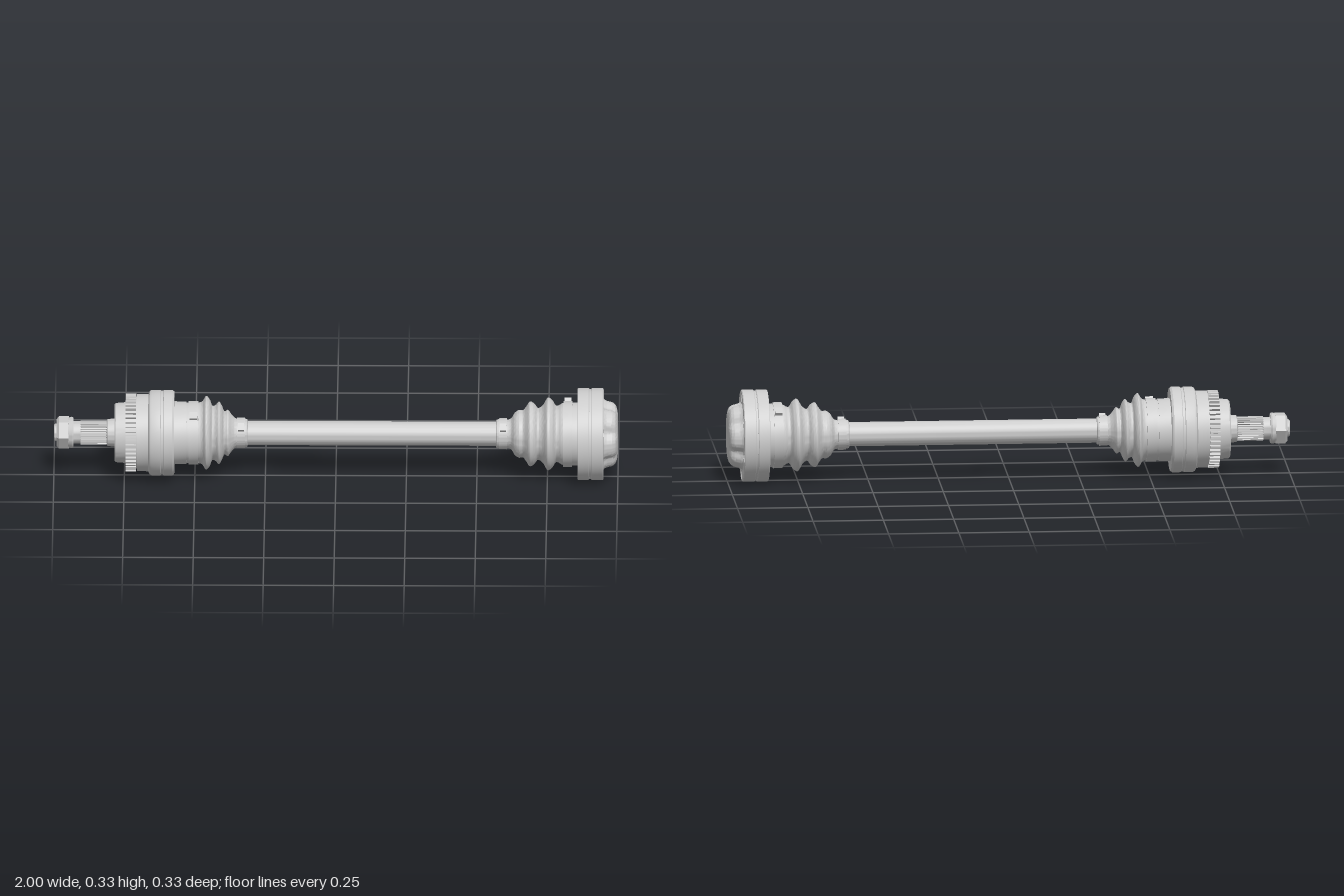
import * as THREE from 'three';
import { toCreasedNormals } from 'three/addons/utils/BufferGeometryUtils.js';

const AXIS_Y = 0.163;
const BOLTS = 6, BOLT_R = 0.137, BOLT_START = THREE.MathUtils.degToRad(24);
const material = new THREE.MeshStandardMaterial({ color: 0xcccccc, side: THREE.DoubleSide });

export function createModel() {
  const group = new THREE.Group();

  const add = (name, geometry, crease = 0.6) => {
    const mesh = new THREE.Mesh(toCreasedNormals(geometry, crease), material);
    mesh.name = name;
    mesh.position.y = AXIS_Y;
    group.add(mesh);
    return mesh;
  };

  // Revolve [x, radius] pairs (in rising x) about the shaft axis
  const turned = (pairs, segments = 64) =>
    new THREE.LatheGeometry(pairs.map(([x, r]) => new THREE.Vector2(r, x)), segments).rotateZ(-Math.PI / 2);

  // Extrude a cross-section along the shaft from x0 to x1
  const along = (shape, x0, x1, curveSegments = 64) =>
    new THREE.ExtrudeGeometry(shape, { depth: x1 - x0, bevelEnabled: false, curveSegments })
      .rotateY(Math.PI / 2).translate(x0, 0, 0);

  const gearShape = (inner, outer, teeth) => {
    const points = [];
    for (let i = 0; i < teeth; i++) {
      [[0, inner], [0.45, inner], [0.55, outer], [0.9, outer]].forEach(([f, r]) => {
        const a = ((i + f) / teeth) * Math.PI * 2;
        points.push(new THREE.Vector2(r * Math.cos(a), r * Math.sin(a)));
      });
    }
    return new THREE.Shape(points);
  };

  // Smooth rubber profile through a few control points
  const bellows = (pairs) =>
    new THREE.CatmullRomCurve3(pairs.map(([x, r]) => new THREE.Vector3(x, r, 0)), false, 'centripetal')
      .getPoints(pairs.length * 6).map((p) => [p.x, p.y]);

  // Clamp band with a crimped ear; angle runs from +z towards +y
  const clamp = (name, x, radius, width, angle) => {
    const h = width / 2, r = radius;
    add(name + 'Band', turned([[x - h, r - 0.012], [x - h, r], [x + h, r], [x + h, r - 0.012]]));
    const ear = new THREE.BoxGeometry(width * 0.8, 0.026, 0.016);
    ear.translate(0, 0, r + 0.005).rotateX(-angle).translate(x, 0, 0);
    add(name + 'Ear', ear);
  };

  // Central shaft
  add('shaft', turned([[-0.36, 0.043], [0.62, 0.043]], 48));

  // Wheel-side stub: threaded end, hex nut, washer and splines
  add('threadedEnd', turned([[-1, 0], [-1, 0.027], [-0.995, 0.031], [-0.93, 0.031]], 32));
  add('hexNut', turned([[-0.99, 0.02], [-0.99, 0.048], [-0.982, 0.058], [-0.947, 0.058], [-0.947, 0.03]], 6), 0.3);
  add('nutWasher', turned([[-0.95, 0.03], [-0.95, 0.052], [-0.936, 0.056], [-0.93, 0.052], [-0.93, 0.03]], 48));
  add('splineCore', turned([[-0.935, 0.04], [-0.905, 0.04], [-0.9, 0.036], [-0.78, 0.036]], 32));
  add('splines', along(gearShape(0.037, 0.043, 28), -0.905, -0.81), 0.3);
  add('splineCollar', turned([[-0.815, 0.036], [-0.81, 0.048], [-0.78, 0.05]], 48));

  // Outer joint housing with toothed speed ring
  add('outerJointHousing', turned([
    [-0.785, 0.03], [-0.785, 0.1], [-0.78, 0.105], [-0.745, 0.108], [-0.745, 0.128], [-0.705, 0.128],
    [-0.705, 0.137], [-0.665, 0.137], [-0.66, 0.148], [-0.652, 0.152], [-0.622, 0.152], [-0.62, 0.149],
    [-0.612, 0.149], [-0.61, 0.152], [-0.58, 0.152], [-0.573, 0.147], [-0.573, 0.112], [-0.53, 0.11], [-0.53, 0.05],
  ]));
  add('speedRing', along(gearShape(0.127, 0.138, 48), -0.745, -0.708), 0.3);

  // Outer boot
  add('outerBoot', turned(bellows([
    [-0.56, 0.106], [-0.525, 0.108], [-0.485, 0.108], [-0.474, 0.112], [-0.46, 0.131], [-0.447, 0.118],
    [-0.437, 0.096], [-0.426, 0.1], [-0.415, 0.111], [-0.405, 0.098], [-0.395, 0.077], [-0.383, 0.082],
    [-0.37, 0.066], [-0.355, 0.052], [-0.315, 0.049], [-0.312, 0.042],
  ])));
  clamp('outerLargeClamp', -0.505, 0.113, 0.035, 0.92);
  clamp('outerSmallClamp', -0.336, 0.054, 0.028, 0.75);

  // Inner boot
  add('innerBoot', turned(bellows([
    [0.567, 0.042], [0.57, 0.05], [0.618, 0.053], [0.635, 0.076], [0.65, 0.085], [0.663, 0.084],
    [0.675, 0.098], [0.688, 0.115], [0.703, 0.108], [0.717, 0.092], [0.733, 0.102], [0.752, 0.129],
    [0.767, 0.12], [0.782, 0.1], [0.805, 0.11], [0.835, 0.112], [0.865, 0.112],
  ])));
  clamp('innerSmallClamp', 0.593, 0.055, 0.028, 0.75);
  clamp('innerLargeClamp', 0.822, 0.117, 0.032, 2.2);

  // Bolt flange with through holes
  const flange = new THREE.Shape().absarc(0, 0, 0.159, 0, Math.PI * 2, false);
  for (let i = 0; i < BOLTS; i++) {
    const a = BOLT_START + (i * Math.PI * 2) / BOLTS;
    flange.holes.push(new THREE.Path().absarc(-BOLT_R * Math.cos(a), BOLT_R * Math.sin(a), 0.017, 0, Math.PI * 2, true));
  }
  add('boltFlange', along(flange, 0.857, 0.949, 48));
  // Raised rims around the flange, separated by a groove
  [[0.857, 0.899], [0.905, 0.949]].forEach(([a, b], i) =>
    add('flangeRim' + (i + 1), turned([[a, 0.157], [a, 0.161], [a + 0.002, 0.163], [b - 0.003, 0.163], [b, 0.16], [b, 0.157]], 96)));

  // End cover: domed cap pinched in around each bolt hole
  const cap = turned(bellows([
    [0.948, 0.128], [0.953, 0.122], [0.965, 0.117], [0.98, 0.113], [0.991, 0.104], [0.997, 0.088], [1, 0.065], [1, 0.0001],
  ]), 120);
  const p = cap.attributes.position;
  const step = (Math.PI * 2) / BOLTS;
  for (let i = 0; i < p.count; i++) {
    const y = p.getY(i), z = p.getZ(i), r = Math.hypot(y, z);
    const turn = (Math.atan2(y, z) - BOLT_START) / step;
    const off = (turn - Math.round(turn)) * step;
    const pinch = 1 - 0.15 * Math.exp(-((off / 0.2) ** 2)) * THREE.MathUtils.smoothstep(r, 0.05, 0.115);
    p.setY(i, y * pinch);
    p.setZ(i, z * pinch);
  }
  add('endCover', cap, 1.2);

  return group;
}
